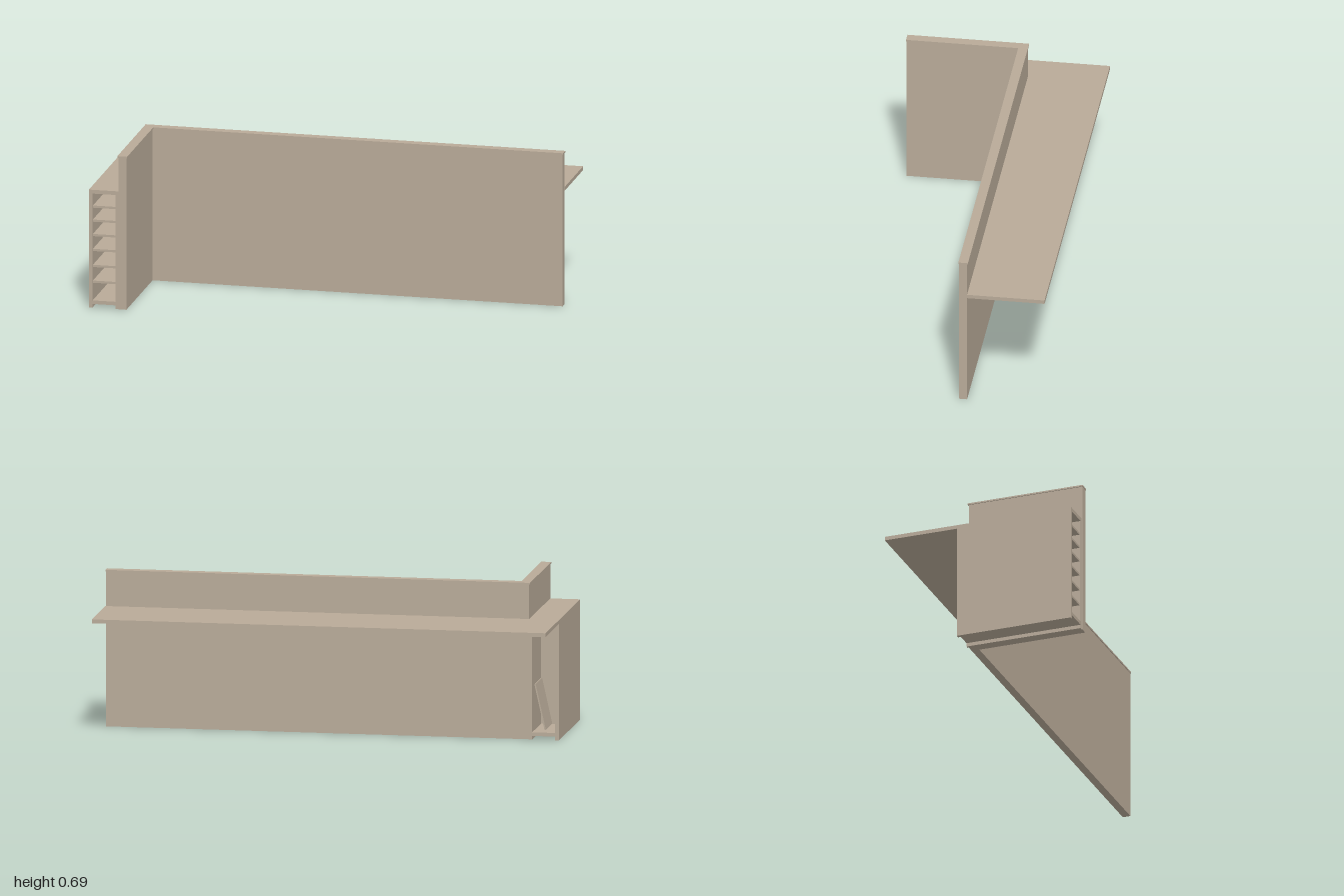
import * as THREE from 'three';

export function createModel() {
  const model = new THREE.Group();
  model.name = 'receptionDesk';
  const laminate = new THREE.MeshStandardMaterial({ color: 0xb8aa98 });
  laminate.name = 'beigeLaminate';

  const add = (name, geometry) => {
    const mesh = new THREE.Mesh(geometry, laminate);
    mesh.name = name;
    model.add(mesh);
    return mesh;
  };

  // Box given by its limits along each axis
  const box = (name, [x0, x1], [y0, y1], [z0, z1]) => {
    const mesh = add(name, new THREE.BoxGeometry(x1 - x0, y1 - y0, z1 - z0));
    mesh.position.set((x0 + x1) / 2, (y0 + y1) / 2, (z0 + z1) / 2);
    return mesh;
  };

  // Flat slab from an outline of [x, z] points
  const slab = (name, outline, y0, y1) => {
    const shape = new THREE.Shape(outline.map(([x, z]) => new THREE.Vector2(x, -z)));
    const geometry = new THREE.ExtrudeGeometry(shape, { depth: y1 - y0, bevelEnabled: false });
    geometry.rotateX(-Math.PI / 2).translate(0, y0, 0);
    return add(name, geometry);
  };

  // L-shaped screen wall with a slightly wider cap
  slab('screenWall', [[-0.868, -0.095], [0.998, -0.095], [0.998, -0.06], [-0.832, -0.06],
    [-0.832, 0.433], [-0.868, 0.433]], 0, 0.683);
  slab('screenCap', [[-0.872, -0.099], [1, -0.099], [1, -0.057], [-0.828, -0.057],
    [-0.828, 0.435], [-0.872, 0.435]], 0.683, 0.69);

  // L-shaped worktop behind the screen
  slab('worktop', [[-1, -0.435], [1, -0.435], [1, -0.095], [-0.868, -0.095],
    [-0.868, 0.43], [-1, 0.43]], 0.513, 0.53);

  // Side cabinet, open at both ends
  const depth = [-0.1, 0.43], inside = [-0.983, -0.882];
  box('cabinetOuterPanel', [-1, -0.983], [0, 0.513], depth);
  box('cabinetInnerPanel', [-0.882, -0.868], [0, 0.513], depth);
  box('cabinetFloor', inside, [0.016, 0.032], depth);
  box('cabinetBack', inside, [0.032, 0.513], [0.12, 0.13]);
  [0.115, 0.186, 0.258, 0.325, 0.39, 0.453].forEach((y, i) =>
    box(`shelf${i + 1}`, inside, [y - 0.005, y + 0.005], [0.13, 0.425]));

  // Board leaning on the inner panel in the rear bay
  const board = box('leaningBoard', [-0.913, -0.907], [0.034, 0.24], [-0.06, 0.1]);
  board.rotation.z = -0.22;

  return model;
}
